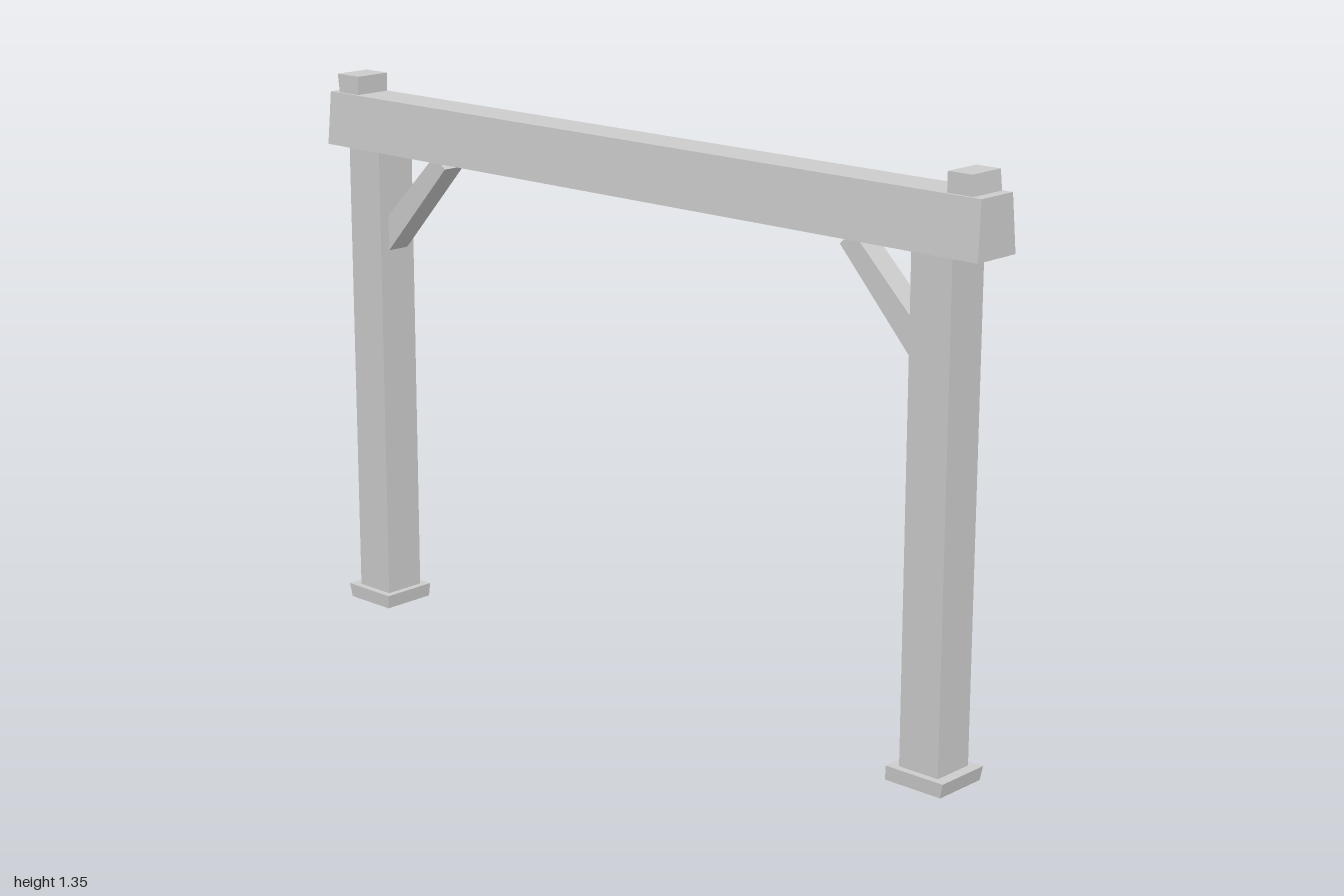
import * as THREE from 'three';

const stone = new THREE.MeshStandardMaterial({ color: 0xcccccc });
stone.name = 'pale grey';

// Hewn block between two levels; each rectangle is [x0, x1, z0, z1]
function block(name, y0, y1, bottom, top = bottom) {
  const geometry = new THREE.BoxGeometry(1, 1, 1).toNonIndexed();
  const p = geometry.attributes.position;
  for (let i = 0; i < p.count; i++) {
    const upper = p.getY(i) > 0;
    const r = upper ? top : bottom;
    p.setXYZ(i, p.getX(i) < 0 ? r[0] : r[1], upper ? y1 : y0, p.getZ(i) < 0 ? r[2] : r[3]);
  }
  geometry.computeVertexNormals();
  const mesh = new THREE.Mesh(geometry, stone);
  mesh.name = name;
  return mesh;
}

// Diagonal brace, its profile drawn in the xy plane on the given side
function brace(name, side) {
  const points = [[0.85, 0.89], [0.613, 1.15], [0.648, 1.18], [0.85, 0.98]];
  const shape = new THREE.Shape(points.map(([x, y]) => new THREE.Vector2(side * x, y)));
  const geometry = new THREE.ExtrudeGeometry(shape, { depth: 0.06, bevelEnabled: false });
  geometry.translate(0, 0, -0.03);
  const mesh = new THREE.Mesh(geometry, stone);
  mesh.name = name;
  return mesh;
}

export function createModel() {
  const model = new THREE.Group();
  model.name = 'gateway';

  // Crossbeam, narrowing towards the top
  model.add(block('crossbeam', 1.17, 1.3, [-1, 1, -0.063, 0.064], [-0.997, 0.997, -0.051, 0.054]));

  // Right side of the model
  model.add(
    block('rightFoot', 0, 0.034, [-0.95, -0.812, -0.07, 0.069], [-0.957, -0.808, -0.071, 0.071]),
    block('rightPost', 0.02, 1.18, [-0.932, -0.825, -0.052, 0.054], [-0.928, -0.82, -0.05, 0.057]),
    block('rightCap', 1.29, 1.345, [-0.97, -0.904, -0.048, 0.047], [-0.977, -0.902, -0.048, 0.047]),
    brace('rightBrace', -1),
  );

  // Left side of the model
  model.add(
    block('leftFoot', 0, 0.034, [0.8, 0.95, -0.07, 0.069], [0.803, 0.957, -0.071, 0.071]),
    block('leftPost', 0.02, 1.18, [0.826, 0.931, -0.052, 0.054], [0.825, 0.931, -0.05, 0.057]),
    block('leftCap', 1.29, 1.345, [0.905, 0.973, -0.048, 0.047], [0.905, 0.967, -0.048, 0.047]),
    brace('leftBrace', 1),
  );
  return model;
}
